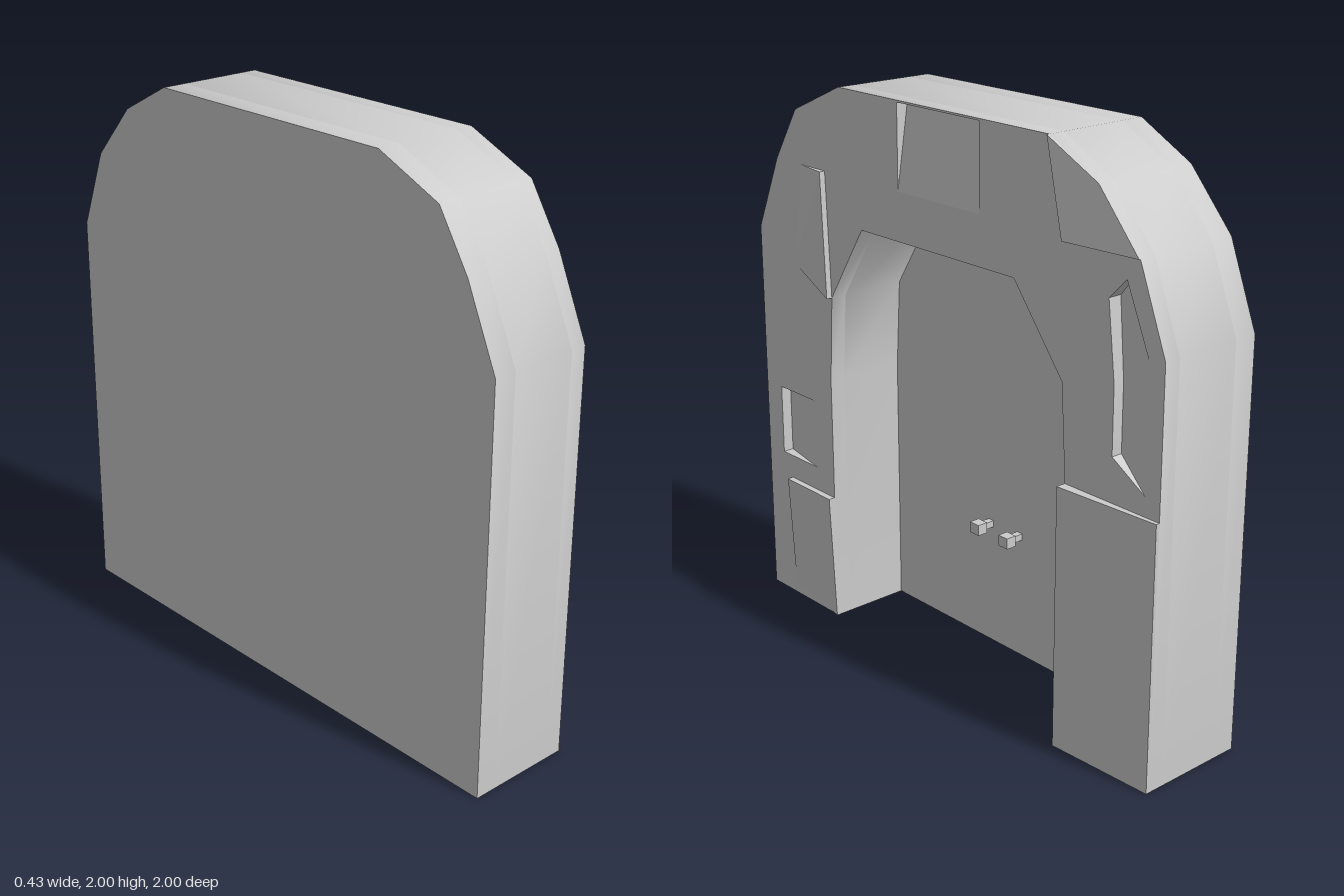
import * as THREE from 'three';
import { toCreasedNormals } from 'three/addons/utils/BufferGeometryUtils.js';

// Profiles use (u, y) with u = -z; the doorway faces +x.
const BACK = -0.215, RECESS = -0.13, SKIN = 0.115, WALL = 0.175;
const outer = [[-1, 0], [-1, 1.43], [-0.88, 1.7], [-0.76, 1.89], [-0.51, 2],
  [0.51, 2], [0.72, 1.89], [0.89, 1.7], [1, 1.42], [1, 0]];
const opening = [[0.6, 0], [0.6, 0.93], [0.58, 1.25], [0.36, 1.53],
  [-0.4, 1.53], [-0.58, 1.25], [-0.6, 0.93], [-0.6, 0]];

// Sloping pockets sunk into the wall: [u, y, x]
const pockets = {
  keystonePocket: [[-0.2, 1.7, WALL], [0.2, 1.7, WALL], [0.2, 1.993, 0.13], [-0.2, 1.993, 0.13]],
  leftPocket: [[-0.91, 0.57, 0.135], [-0.7, 0.57, WALL], [-0.7, 0.83, WALL], [-0.91, 0.83, 0.135]],
  rightPocket: [[0.94, 0.985, WALL], [0.94, 1.4, WALL], [0.84, 1.63, 0.146],
    [0.77, 1.56, 0.126], [0.8, 1.3, 0.135], [0.8, 1.07, 0.135]],
};

// Tilted stone plates standing proud of the wall: [u, y, x]
const plates = {
  lowerRightPlate: [[0.6, 0, 0.21], [1, 0, 0.188], [1, 0.92, 0.188], [0.6, 0.92, 0.21]],
  lowerLeftPlate: [[-0.86, 0.04, WALL], [-0.6, 0, 0.179], [-0.6, 0.48, 0.2], [-0.86, 0.48, 0.198]],
  upperLeftPlate: [[-0.79, 1.33, WALL], [-0.58, 1.25, 0.197], [-0.6, 1.7, 0.197], [-0.74, 1.7, WALL]],
  upperRightPlate: [[0.6, 1.7, 0.207], [0.89, 1.7, 0.18], [0.72, 1.89, 0.178], [0.51, 2, 0.186]],
};

const material = new THREE.MeshStandardMaterial({ color: 0xcccccc });
const vectors = (pts) => pts.map(([u, y]) => new THREE.Vector2(u, y));

function add(group, name, geometry) {
  const mesh = new THREE.Mesh(geometry, material);
  mesh.name = name;
  group.add(mesh);
  return mesh;
}

// Extrude a profile between two x positions
function slab(points, x0, x1, holes = []) {
  const shape = new THREE.Shape(vectors(points));
  shape.holes = holes.map((h) => new THREE.Path(vectors(h)));
  const geometry = new THREE.ExtrudeGeometry(shape, { depth: x1 - x0, bevelEnabled: false });
  geometry.rotateY(Math.PI / 2).translate(x0, 0, 0);
  return toCreasedNormals(geometry, 0.65);
}

// Sloping face plus a skirt back to the wall plane; sunk faces get inward walls
function relief(points) {
  const flat = vectors(points);
  const pos = [];
  const put = ([u, y, x]) => pos.push(x, y, -u);
  THREE.ShapeUtils.triangulateShape(flat, []).forEach((t) => t.forEach((i) => put(points[i])));
  points.forEach((a, i) => {
    const b = points[(i + 1) % points.length];
    const a0 = [a[0], a[1], WALL], b0 = [b[0], b[1], WALL];
    [a0, b0, b, a0, b, a].forEach(put);
  });
  const geometry = new THREE.BufferGeometry();
  geometry.setAttribute('position', new THREE.Float32BufferAttribute(pos, 3));
  geometry.computeVertexNormals();
  return geometry;
}

export function createModel() {
  const model = new THREE.Group();
  model.name = 'archedDoorway';

  // Door panel, thick arch and its pocketed outer face
  const arch = [...outer, ...opening];
  add(model, 'doorPanel', slab(outer, BACK, RECESS));
  add(model, 'archBody', slab(arch, RECESS, SKIN));
  add(model, 'archFace', slab(arch, SKIN, WALL, Object.values(pockets)));

  for (const [name, pts] of Object.entries({ ...pockets, ...plates })) add(model, name, relief(pts));

  // Pair of door knobs on short stems
  for (const z of [0.08, -0.07]) {
    const knob = new THREE.Group();
    knob.name = 'doorKnob';
    add(knob, 'knobStem', new THREE.BoxGeometry(0.045, 0.024, 0.026)).position.x = 0.0225;
    add(knob, 'knobHead', new THREE.BoxGeometry(0.04, 0.04, 0.045)).position.x = 0.06;
    knob.position.set(RECESS, 0.465, z);
    model.add(knob);
  }
  return model;
}
